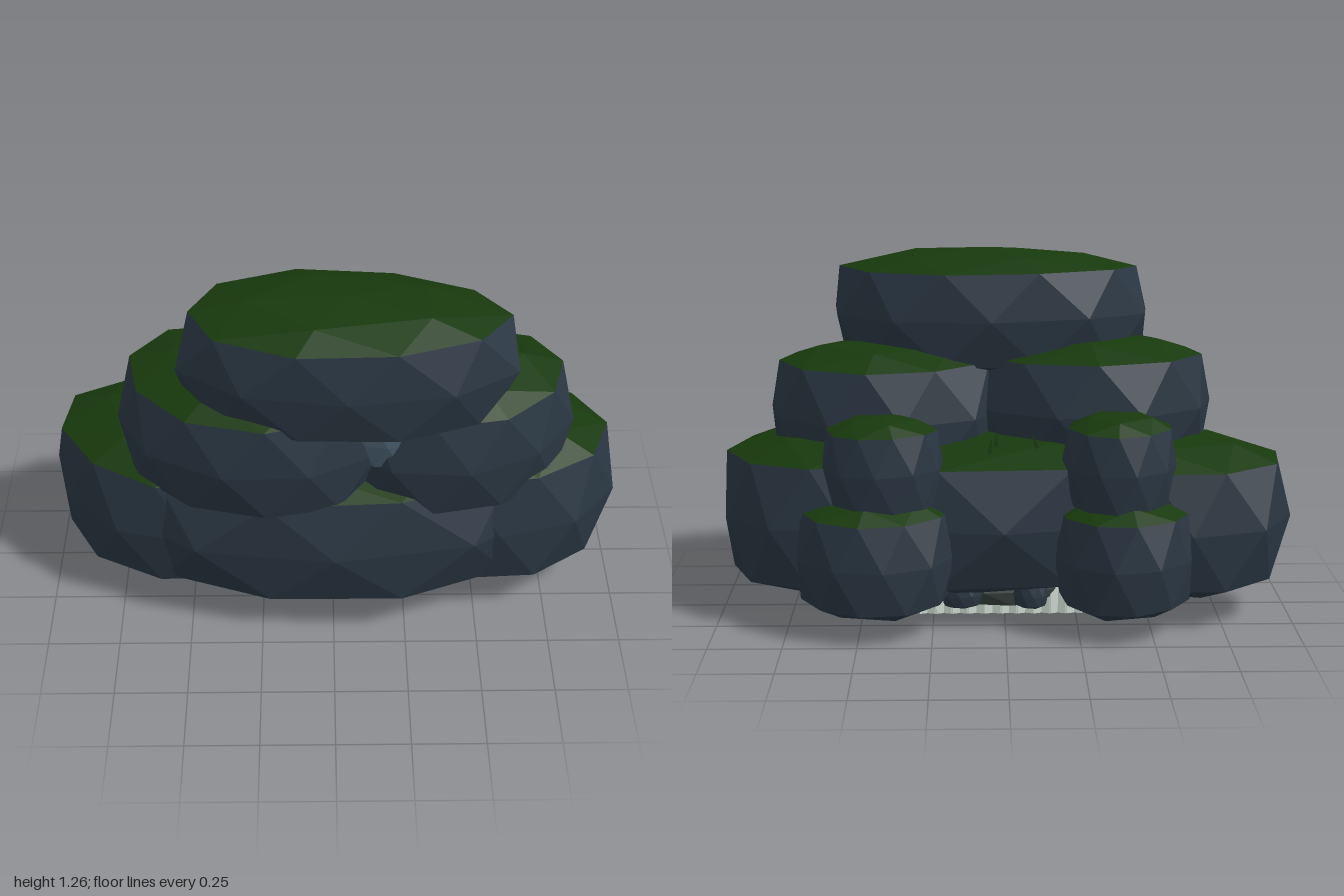
import * as THREE from 'three';

const stone = new THREE.MeshStandardMaterial({ color: 0x2a3743, flatShading: true });
const moss = new THREE.MeshStandardMaterial({ color: 0x18390d, flatShading: true });
const paleStone = new THREE.MeshStandardMaterial({ color: 0x455a69, flatShading: true });
const slate = new THREE.MeshStandardMaterial({ color: 0x3a4440, flatShading: true });
const water = new THREE.MeshStandardMaterial({ color: 0xd0dcd4, flatShading: true });

// Height and radius of each vertex ring, from the equator to the pole
function squash(y) {
  const a = Math.abs(y);
  if (a > 0.95) return [Math.sign(y), 0];
  if (a > 0.7) return [0.91 * Math.sign(y), 0.58];
  if (a > 0.3) return [0.71 * Math.sign(y), 0.91];
  return [0, 1];
}

function meshOf(points, material, name) {
  const geometry = new THREE.BufferGeometry();
  geometry.setAttribute('position', new THREE.Float32BufferAttribute(points, 3));
  geometry.computeVertexNormals();
  const mesh = new THREE.Mesh(geometry, material);
  mesh.name = name;
  return mesh;
}

// Faceted boulder fitted to x, y and z ranges; the upper faces become a moss cap
function boulder(name, xs, ys, zs, { spin = 0, skew = 0, top = moss, side = stone } = {}) {
  const geometry = new THREE.IcosahedronGeometry(1, 1);
  geometry.rotateZ(Math.atan(2 / (1 + Math.sqrt(5))));
  const p = geometry.attributes.position;
  const capped = [];
  for (let i = 0; i < p.count; i += 3) {
    capped.push([0, 1, 2].every(k => p.getY(i + k) > 0.4));
  }
  for (let i = 0; i < p.count; i++) {
    const [h, r] = squash(p.getY(i));
    const angle = Math.atan2(p.getZ(i), p.getX(i)) + spin;
    // slight unevenness that depends only on direction, so facets stay joined
    const bump = r * (1 + 0.02 * Math.sin(3 * angle + 5 * spin + 2 * h));
    const lift = r * 0.03 * Math.sin(2 * angle + 3 * spin);
    const x = Math.cos(angle) * bump;
    p.setXYZ(i, x, h + lift, Math.sin(angle) * bump + skew * x);
  }
  geometry.computeBoundingBox();
  const { min, max } = geometry.boundingBox;
  const fit = (v, a, b, [c, d]) => c + (v - a) / (b - a) * (d - c);
  const cap = [], body = [];
  for (let i = 0; i < p.count; i++) {
    (capped[Math.floor(i / 3)] ? cap : body).push(
      fit(p.getX(i), min.x, max.x, xs),
      fit(p.getY(i), min.y, max.y, ys),
      fit(p.getZ(i), min.z, max.z, zs));
  }
  const group = new THREE.Group();
  group.name = name;
  group.add(meshOf(body, side, name + 'Body'), meshOf(cap, top, name + 'Cap'));
  return group;
}

export function createModel() {
  const model = new THREE.Group();
  model.name = 'mossyBoulderPile';

  // Bottom tier
  model.add(
    boulder('baseRightBoulder', [-1, -0.1], [0.06, 0.64], [-0.38, 0.37], { spin: 0.45, skew: 0.2 }),
    boulder('baseLeftBoulder', [0.12, 1], [0.07, 0.66], [-0.37, 0.38], { spin: -0.05, skew: -0.02 }),
    boulder('baseCentreBoulder', [-0.78, 0.79], [0.07, 0.65], [-0.39, 0.5], { spin: 0 }));

  // Middle tier and the pale stone wedged between its boulders
  model.add(
    boulder('middleRightBoulder', [-0.74, 0.2], [0.47, 0.97], [-0.2, 0.5], { spin: 0.2, skew: 0.17 }),
    boulder('middleLeftBoulder', [-0.02, 0.83], [0.44, 0.95], [-0.2, 0.45], { spin: 0.5, skew: -0.1 }),
    boulder('wedgeStone', [0.03, 0.33], [0.66, 0.9], [0.14, 0.42], { top: paleStone, side: paleStone }));

  // Top slab
  model.add(boulder('topBoulder', [-0.52, 0.61], [0.8, 1.26], [-0.08, 0.53], { spin: 0, skew: 0.06 }));

  // Two pairs of stacked rocks against the back
  model.add(
    boulder('backLowerRightRock', [-0.65, -0.16], [0.05, 0.48], [-0.53, -0.06], { spin: 0.2 }),
    boulder('backLowerLeftRock', [0.17, 0.72], [0.05, 0.48], [-0.52, -0.04], { spin: 0.5 }),
    boulder('backUpperRightRock', [-0.58, -0.19], [0.39, 0.76], [-0.46, -0.1], { spin: 0.4 }),
    boulder('backUpperLeftRock', [0.21, 0.62], [0.39, 0.75], [-0.45, -0.1], { spin: 0.1 }));

  // Slate footing and pebbles underneath
  model.add(boulder('footing', [-0.3, 0.32], [0.02, 0.16], [-0.17, 0.32], { spin: 0.2, top: slate, side: slate }));
  const pebbles = [[0.42, -0.03, 0.15], [-0.4, -0.03, 0.15], [0.15, -0.17, 0.07], [-0.09, -0.18, 0.06]];
  pebbles.forEach(([x, z, r], i) => model.add(
    boulder('pebble' + (i + 1), [x - r, x + r], [0.04, 0.14], [z - r * 0.8, z + r * 0.8], { spin: i, top: stone })));

  // Thin rippled sheet of water below the pile
  const sheet = new THREE.Group();
  sheet.name = 'waterSheet';
  for (let i = 0; i < 20; i++) {
    const height = 0.12 + 0.02 * Math.sin(i * 2.3);
    const strip = new THREE.Mesh(new THREE.BoxGeometry(0.03, height, 0.01), water);
    strip.position.set(-0.26 + i * 0.0288, height / 2, -0.11);
    strip.rotation.y = i % 2 ? 0.35 : -0.35;
    strip.name = 'waterStrip';
    sheet.add(strip);
  }
  model.add(sheet);

  // Small grass blades on the back ledge
  for (const [x, z] of [[-0.1, -0.22], [0.03, -0.19], [0.05, -0.3]]) {
    const blade = new THREE.Mesh(new THREE.ConeGeometry(0.008, 0.06, 3), moss);
    blade.position.set(x, 0.65, z);
    blade.rotation.z = x * 3;
    blade.name = 'grassBlade';
    model.add(blade);
  }
  return model;
}
